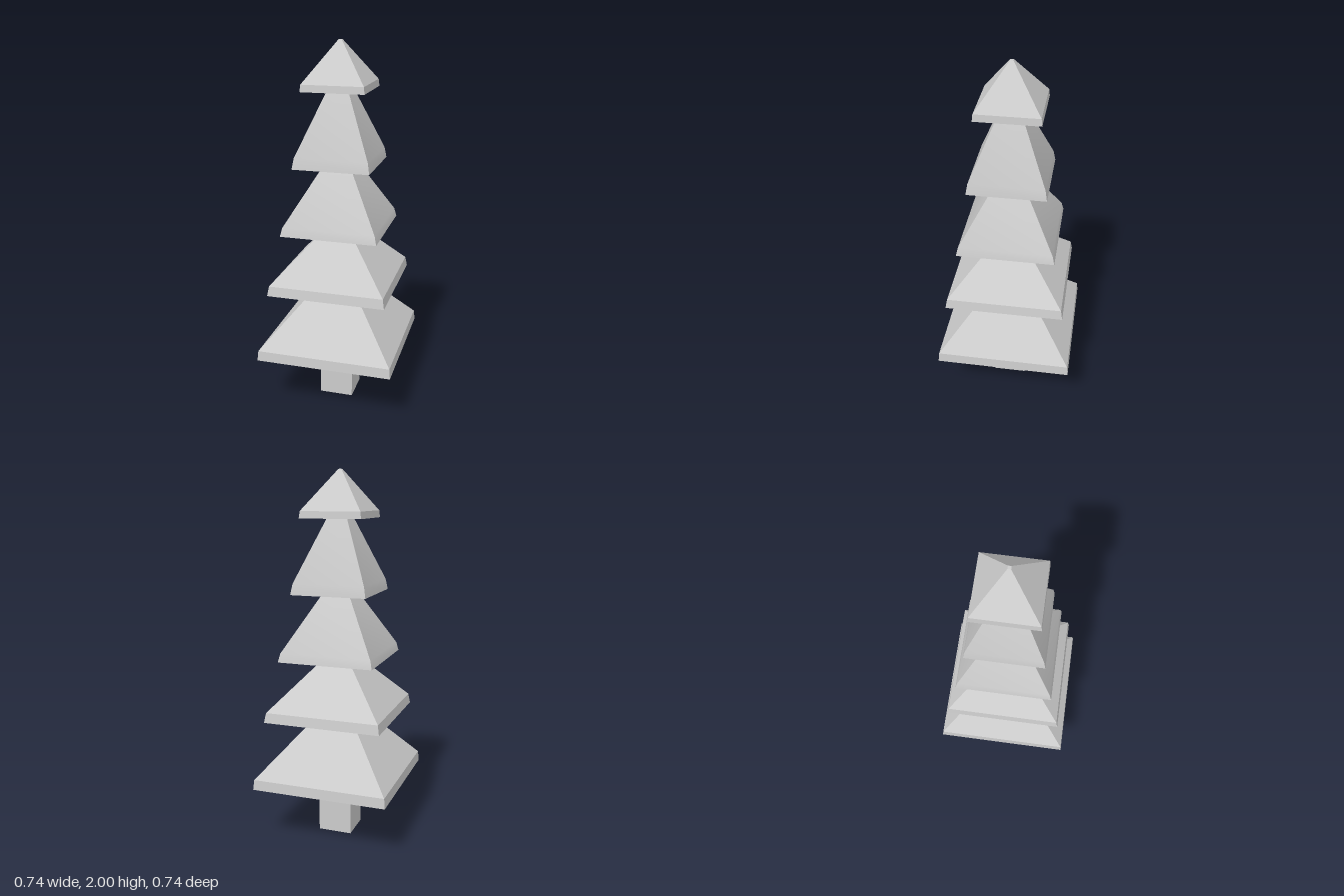
import * as THREE from 'three';
import { toCreasedNormals } from 'three/addons/utils/BufferGeometryUtils.js';

// Square solid from a profile of [half width, height], listed bottom to top
function squareLathe(name, profile, material) {
  const points = profile.map(([w, y]) => new THREE.Vector2(w * Math.SQRT2, y));
  const geometry = new THREE.LatheGeometry(points, 4, Math.PI / 4);
  const mesh = new THREE.Mesh(
    toCreasedNormals(geometry, THREE.MathUtils.degToRad(20)), material);
  mesh.name = name;
  return mesh;
}

export function createModel() {
  const tree = new THREE.Group();
  tree.name = 'tree';
  const material = new THREE.MeshStandardMaterial({ color: 0xcccccc });

  // Trunk, flaring up into the hollow under the lowest branches
  tree.add(squareLathe('trunk',
    [[0, 0], [0.093, 0], [0.093, 0.31], [0.16, 0.348]], material));

  // Branch tiers: inner underside, rim, lip, neck under the next tier
  const tiers = [
    [[0.16, 0.348], [0.37, 0.31], [0.365, 0.365], [0.12, 0.655]],
    [[0.12, 0.655], [0.32, 0.68], [0.311, 0.733], [0.095, 0.972]],
    [[0.095, 0.972], [0.26, 1.003], [0.249, 1.05], [0.073, 1.357]],
    [[0.073, 1.357], [0.206, 1.357], [0.196, 1.415], [0.055, 1.752]],
    [[0.055, 1.752], [0.168, 1.75], [0.164, 1.787], [0.008, 2], [0, 2]],
  ];
  tiers.forEach((profile, i) =>
    tree.add(squareLathe(`branchTier${i + 1}`, profile, material)));

  return tree;
}
